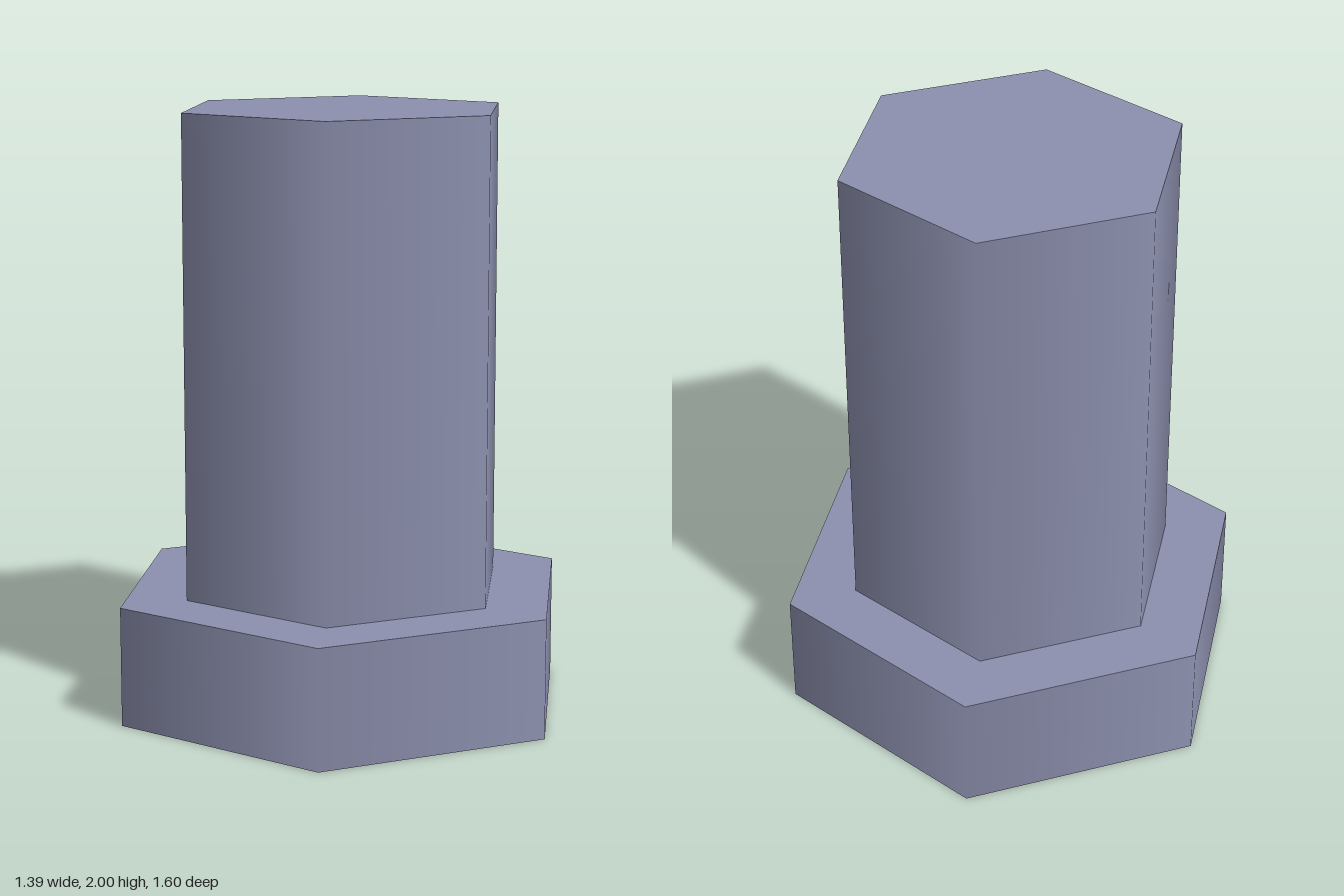
import * as THREE from 'three';

const steel = new THREE.MeshStandardMaterial({ color: 0x8c90ae });
steel.name = 'blue grey steel';

// Six-sided prism with smooth-shaded sides, a corner facing the front
function hexPrism(name, radius, bottom, top) {
  const geometry = new THREE.CylinderGeometry(radius, radius, top - bottom, 6);
  const mesh = new THREE.Mesh(geometry, steel);
  mesh.name = name;
  mesh.position.y = (bottom + top) / 2;
  return mesh;
}

export function createModel() {
  const model = new THREE.Group();
  model.name = 'hexBolt';
  model.add(
    hexPrism('head', 0.8, 0, 0.4),
    hexPrism('shaft', 0.568, 0.4, 2),
  );
  return model;
}
